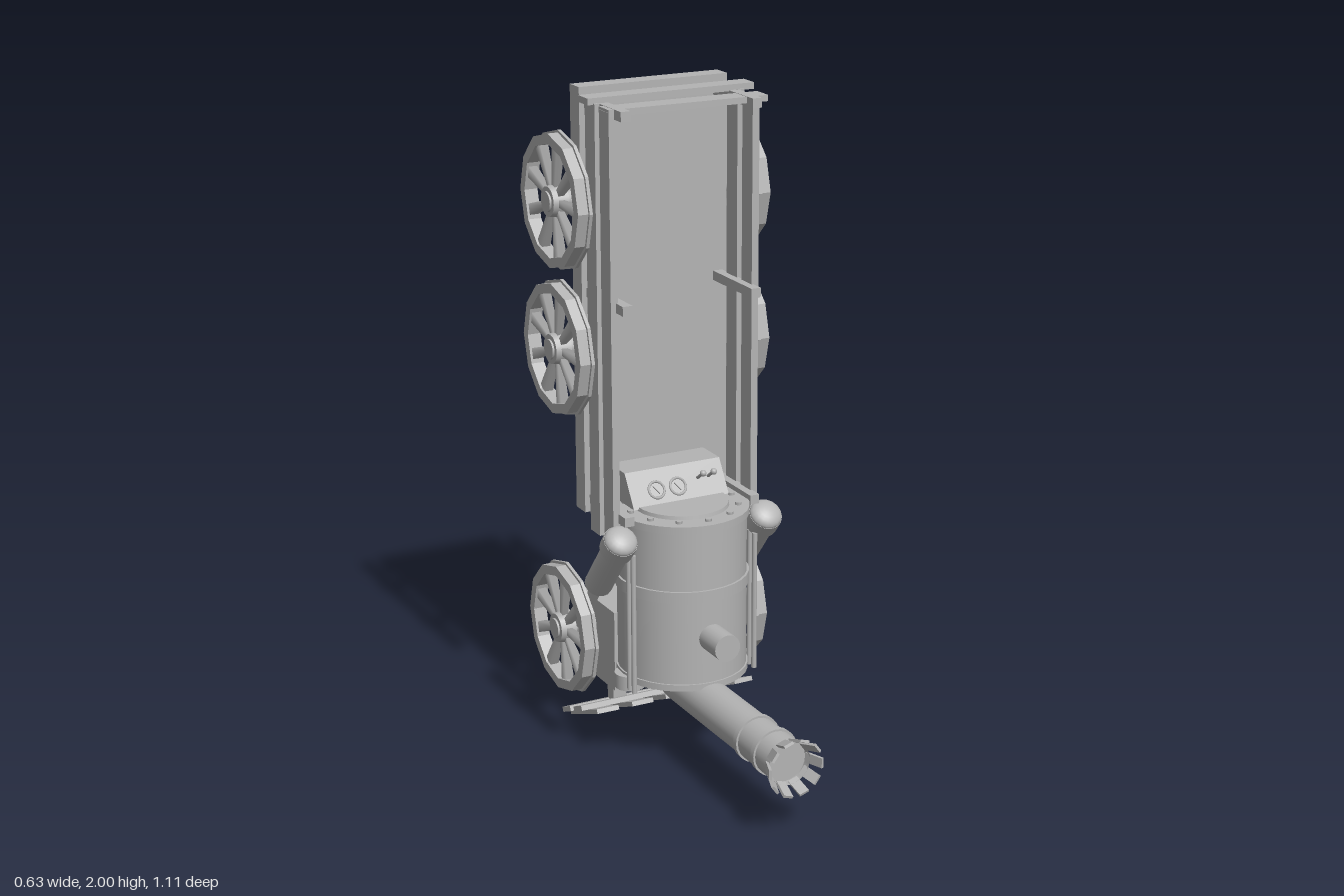
import * as THREE from 'three';

const grey = new THREE.MeshStandardMaterial({ color: 0xb4b4b4 });
grey.name = 'plain grey';
const greyOpen = grey;
greyOpen.side = THREE.DoubleSide;

function add(parent, name, geo, x = 0, y = 0, z = 0) {
  const m = new THREE.Mesh(geo, grey);
  m.name = name;
  m.position.set(x, y, z);
  parent.add(m);
  return m;
}
// box given by its min and max corners
function block(parent, name, x0, x1, y0, y1, z0, z1) {
  return add(parent, name, new THREE.BoxGeometry(x1 - x0, y1 - y0, z1 - z0),
    (x0 + x1) / 2, (y0 + y1) / 2, (z0 + z1) / 2);
}
// cylinder from point a to point b
function rod(parent, name, a, b, ra, rb = ra, sides = 16) {
  const p = new THREE.Vector3(...a), q = new THREE.Vector3(...b), d = q.clone().sub(p);
  const m = add(parent, name, new THREE.CylinderGeometry(rb, ra, d.length(), sides));
  m.position.copy(p).add(q).multiplyScalar(0.5);
  m.quaternion.setFromUnitVectors(new THREE.Vector3(0, 1, 0), d.normalize());
  return m;
}
// flat-sided ring, axis along z before it is turned
function ring(outer, inner, depth) {
  const s = new THREE.Shape(), h = new THREE.Path();
  for (let i = 0; i < 12; i++) {
    const a = (i / 12) * Math.PI * 2, f = i ? 'lineTo' : 'moveTo';
    s[f](Math.cos(a) * outer, Math.sin(a) * outer);
    h[f](Math.cos(a) * inner, Math.sin(a) * inner);
  }
  s.closePath(); h.closePath();
  s.holes.push(h);
  return new THREE.ExtrudeGeometry(s, { depth, bevelEnabled: false });
}

// spoked wheel whose outer face points along +z
function makeWheel() {
  const w = new THREE.Group();
  w.name = 'wheel';
  add(w, 'tyre', ring(0.195, 0.166, 0.034), 0, 0, 0.008);
  add(w, 'flange', ring(0.203, 0.168, 0.01));
  for (let i = 0; i < 9; i++) {
    const a = (i / 9) * Math.PI * 2;
    const spoke = add(w, 'spoke', new THREE.CylinderGeometry(0.024, 0.014, 0.14, 4, 1).rotateY(Math.PI / 4),
      Math.cos(a) * 0.105, Math.sin(a) * 0.105, 0.022);
    spoke.rotation.z = a - Math.PI / 2;
    spoke.scale.z = 0.8;
  }
  rod(w, 'hub', [0, 0, 0], [0, 0, 0.046], 0.052, 0.044);
  rod(w, 'hubCap', [0, 0, 0.04], [0, 0, 0.052], 0.03);
  return w;
}

export function createModel() {
  const g = new THREE.Group();
  g.name = 'uprightLocomotive';
  const BZ = -0.132;

  // wheels and axles
  for (const y of [0.365, 1.235, 1.67]) {
    rod(g, 'axle', [-0.28, y, -0.354], [0.28, y, -0.354], 0.031);
    for (const s of [-1, 1]) {
      const w = makeWheel();
      w.position.set(s * 0.264, y, -0.354);
      w.rotation.y = s * Math.PI / 2;
      g.add(w);
    }
  }

  // wagon bed with its side and end boards
  block(g, 'wagonBed', -0.235, 0.235, 0.74, 2, -0.352, -0.293);
  for (const s of [-1, 1]) {
    add(g, 'frontSideBoard', new THREE.BoxGeometry(0.022, 1.24, 0.06), s * 0.225, 1.34, -0.133);
    add(g, 'rearSideBoard', new THREE.BoxGeometry(0.022, 1.27, 0.062), s * 0.225, 1.335, -0.223);
    for (const y of [0.78, 1.407, 1.955])
      add(g, 'boardPost', new THREE.BoxGeometry(0.03, 0.028, 0.24), s * 0.205, y, -0.18);
  }
  block(g, 'rearEndBoard', -0.253, 0.272, 1.966, 1.985, -0.26, -0.2);
  const endBoard = block(g, 'frontEndBoard', -0.235, 0.258, 1.95, 1.968, -0.163, -0.098);
  endBoard.rotation.y = -0.02;

  // boiler, bands and bolted lid
  rod(g, 'boiler', [0, 0.275, BZ], [0, 0.77, BZ], 0.192, 0.192, 32);
  for (const [y, h, r] of [[0.277, 0.02, 0.197], [0.56, 0.035, 0.199], [0.768, 0.022, 0.2]])
    rod(g, 'boilerBand', [0, y - h / 2, BZ], [0, y + h / 2, BZ], r, r, 32);
  rod(g, 'boilerLid', [0, 0.77, BZ], [0, 0.79, BZ], 0.142, 0.138, 32);
  for (let i = 0; i < 12; i++) {
    const a = (i / 12) * Math.PI * 2, x = Math.sin(a) * 0.166, z = BZ + Math.cos(a) * 0.166;
    rod(g, 'bolt', [x, 0.775, z], [x, 0.787, z], 0.01, 0.01, 6);
  }
  rod(g, 'steamDome', [0, 0.427, 0], [0, 0.427, 0.153], 0.041, 0.041, 20);

  // sloped control panel with dials and levers
  const panel = new THREE.Shape([[0.13, 0.785], [0.19, 0.88], [0.292, 0.88], [0.292, 0.785]]
    .map(([x, y]) => new THREE.Vector2(x, y)));
  const panelGeo = new THREE.ExtrudeGeometry(panel, { depth: 0.312, bevelEnabled: false });
  panelGeo.rotateY(Math.PI / 2).translate(-0.156, 0, 0);
  add(g, 'controlPanel', panelGeo);
  const face = new THREE.Group();
  face.name = 'panelFittings';
  face.position.set(0, 0.83, -0.158);
  face.rotation.x = -0.563;
  g.add(face);
  for (const x of [-0.07, 0]) {
    add(face, 'dialRim', new THREE.TorusGeometry(0.025, 0.004, 6, 20), x, -0.005, 0.002);
    add(face, 'dialNeedle', new THREE.BoxGeometry(0.005, 0.03, 0.005), x, -0.005, 0.003).rotation.z = 0.6;
  }
  for (const x of [0.07, 0.105]) {
    rod(face, 'lever', [x, 0.01, 0], [x, 0.012, 0.04], 0.005, 0.005, 8);
    add(face, 'leverKnob', new THREE.SphereGeometry(0.01, 10, 8), x, 0.012, 0.042);
  }

  // chimney with elbow, bands and a flared crown
  const path = new THREE.CurvePath();
  const P = (y, z) => new THREE.Vector3(0, y, z);
  path.add(new THREE.LineCurve3(P(0.217, 0.515), P(0.217, -0.12)));
  path.add(new THREE.QuadraticBezierCurve3(P(0.217, -0.12), P(0.217, -0.2), P(0.3, -0.2)));
  add(g, 'chimney', new THREE.TubeGeometry(path, 50, 0.065, 24));
  add(g, 'chimneyInside', new THREE.CircleGeometry(0.064, 24), 0, 0.217, 0.49);
  for (const z of [0.325, 0.425])
    rod(g, 'chimneyBand', [0, 0.217, z - 0.009], [0, 0.217, z + 0.009], 0.071, 0.071, 24);
  for (let i = 0; i < 10; i++) {
    const arm = new THREE.Group();
    arm.name = 'crownArm';
    arm.position.set(0, 0.217, 0.5);
    arm.rotation.z = ((i + 0.5) / 10) * Math.PI * 2;
    add(arm, 'crownSlat', new THREE.BoxGeometry(0.03, 0.008, 0.06), 0, 0.073, 0.026).rotation.x = -0.35;
    g.add(arm);
  }

  for (const s of [-1, 1]) {
    // piston cylinder with domed cap, driving the front wheel
    const x = s * 0.238;
    rod(g, 'pistonCylinder', [x, 0.545, -0.205], [x, 0.715, -0.065], 0.042);
    rod(g, 'pistonCollar', [x, 0.695, -0.082], [x, 0.73, -0.053], 0.051);
    const cap = add(g, 'pistonCap', new THREE.SphereGeometry(0.05, 16, 6, 0, Math.PI * 2, 0, Math.PI / 2), x, 0.73, -0.053);
    cap.rotation.x = 0.69;
    cap.scale.y = 0.55;
    rod(g, 'pistonRod', [x, 0.36, -0.352], [x, 0.56, -0.193], 0.024, 0.016, 12);
    // side pipes and feet
    for (const z of [-0.05, -0.08])
      rod(g, 'sidePipe', [s * 0.2, 0.25, z], [s * 0.2, 0.68, z], 0.008, 0.008, 8);
    rod(g, 'sideFoot', [s * 0.172, 0.235, -0.135], [s * 0.172, 0.28, -0.135], 0.046);
  }

  // axle box and the struts under it
  block(g, 'axleBox', -0.19, 0.19, 0.195, 0.445, -0.43, -0.2);
  for (const x of [-0.11, 0.11])
    add(g, 'strut', new THREE.BoxGeometry(0.045, 0.11, 0.04), x, 0.15, -0.35);

  // fanned slatted guard
  const guard = new THREE.Group();
  guard.name = 'trackGuard';
  guard.position.set(0, 0.085, -0.325);
  guard.rotation.x = -0.42;
  g.add(guard);
  for (let i = -2; i <= 2; i++) {
    const slat = add(guard, 'guardSlat', new THREE.BoxGeometry(0.068, 0.014, 0.35), i * 0.1, 0, i ? 0 : -0.008);
    slat.rotation.y = i * 0.085;
  }
  block(guard, 'guardCrossbar', -0.27, 0.26, 0.007, 0.023, 0.01, 0.07);
  block(guard, 'guardCrossbar', -0.25, 0.25, 0.007, 0.023, -0.125, -0.065);
  return g;
}
